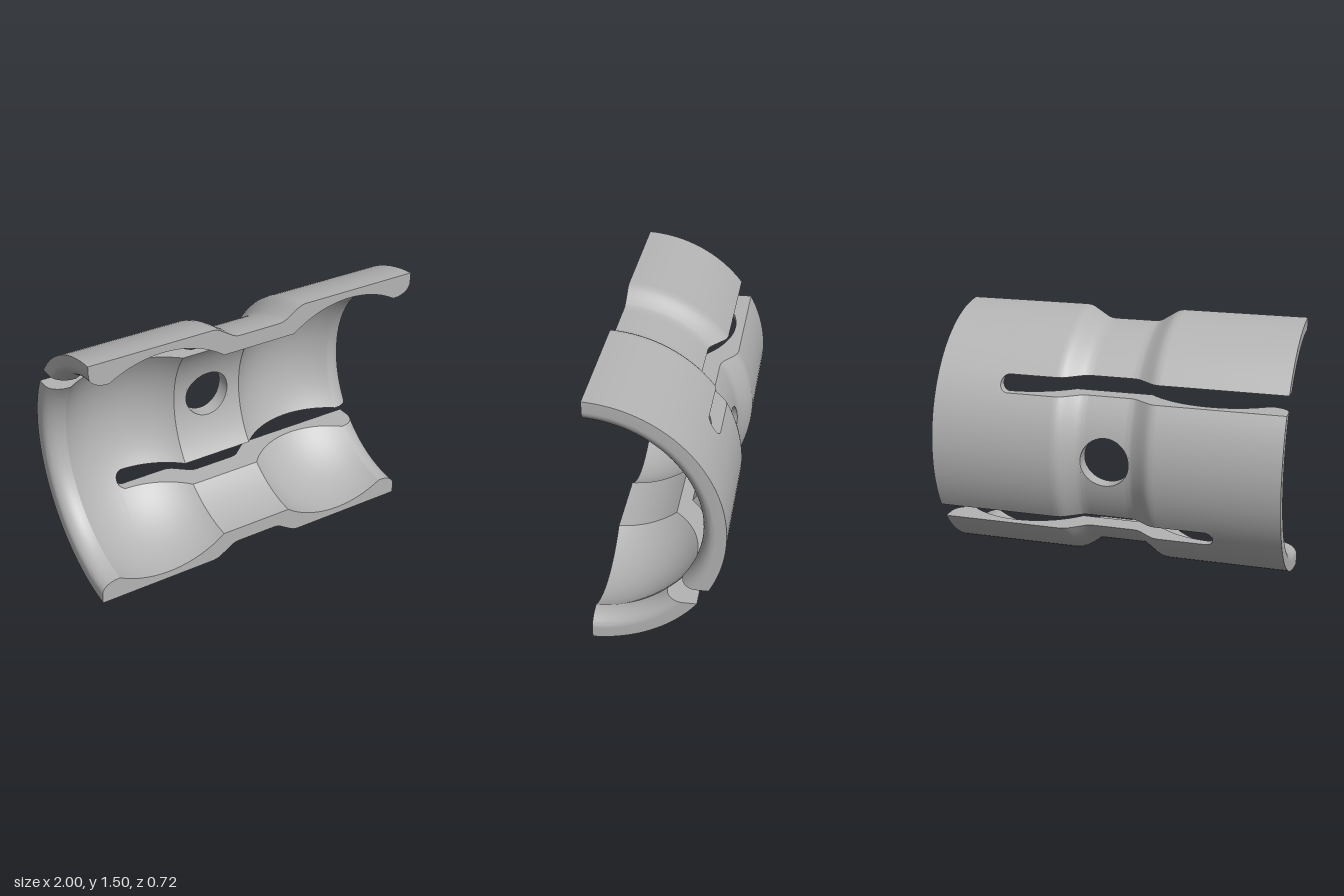
import * as THREE from 'three';
import { toCreasedNormals } from 'three/addons/utils/BufferGeometryUtils.js';

const CY = 0.749, CZ = 0.39, CUT = 0.03; // bore axis, and distance from axis to the cut plane
const SLOT_Y = 0.402, SLOT_H = 0.047, SLOT_END = 0.615, HOLE_R = 0.14;

// Outer radius along the length: two barrels with a waist between
const waist = [[0, 0.674], [0.12, 0.674], [0.145, 0.677], [0.165, 0.685], [0.245, 0.736], [0.265, 0.745], [0.29, 0.749], [1, 0.749]];
function outerR(x) {
  const a = Math.abs(x);
  const i = Math.max(1, waist.findIndex((p) => p[0] >= a));
  const [x0, r0] = waist[i - 1], [x1, r1] = waist[i];
  return r0 + (r1 - r0) * (a - x0) / (x1 - x0);
}

// Inner radius: narrow neck, a ball-shaped socket each side, rounded end lips
function innerR(x) {
  const a = Math.abs(x);
  if (a > 0.9) return 0.69 - 0.07 * Math.sqrt(Math.max(0, 1 - ((a - 0.9) / 0.1) ** 2));
  const ball = 0.105 + Math.sqrt(Math.max(0, 0.36 - (a - 0.58) ** 2));
  return Math.max(ball, a < 0.58 ? 0.585 : 0.62);
}

// Half heights of the openings at x
const clean = (v) => (v > 1e-5 ? v : 0);
const holeHalf = (x) => clean(Math.sqrt(Math.max(0, HOLE_R ** 2 - x * x)));
function slotHalf(x) {
  const d = Math.max(0, x - (SLOT_END - SLOT_H));
  return clean(Math.sqrt(Math.max(0, SLOT_H ** 2 - d * d)));
}

// Stations along the length, symmetric about the middle
function stations() {
  const set = new Set();
  const add = (v) => { set.add(+v.toFixed(5)); set.add(+(-v).toFixed(5) || 0); };
  waist.forEach((p) => add(p[0]));
  for (let i = 0; i <= 12; i++) {
    const s = Math.sin(i / 12 * Math.PI / 2);
    add(HOLE_R * s);
    add(SLOT_END - SLOT_H + SLOT_H * s);
    add(0.9 + 0.1 * s);
  }
  for (let x = 0.2; x < 0.9; x += 0.025) add(x);
  add(0.22);
  add(0.888);
  return [...set].sort((a, b) => a - b);
}

function createShell() {
  const pos = [];
  const quad = (a, b, c, d) => {
    for (const p of [a, b, c, a, c, d]) pos.push(...p);
  };
  const xs = stations();

  // Solid strip between two edges; each edge gives an angle from x and radius
  function strip(lo, hi, loOpen, hiOpen, n) {
    const arc = (x, r) => Array.from({ length: n + 1 }, (_, j) => {
      const t = lo(x, r) + (hi(x, r) - lo(x, r)) * j / n;
      return [x, r * Math.sin(t), -r * Math.cos(t)];
    });
    const cols = xs.map((x) => ({ x, o: arc(x, outerR(x)), i: arc(x, innerR(x)) }));
    for (let k = 0; k < cols.length - 1; k++) {
      const A = cols[k], B = cols[k + 1];
      for (let j = 0; j < n; j++) {
        quad(A.o[j], A.o[j + 1], B.o[j + 1], B.o[j]);
        quad(A.i[j], B.i[j], B.i[j + 1], A.i[j + 1]);
      }
      if (hiOpen(A.x) || hiOpen(B.x)) quad(A.o[n], A.i[n], B.i[n], B.o[n]);
      if (loOpen(A.x) || loOpen(B.x)) quad(A.o[0], B.o[0], B.i[0], A.i[0]);
    }
    // End faces
    const A = cols[0], B = cols[cols.length - 1];
    for (let j = 0; j < n; j++) {
      quad(A.o[j], A.i[j], A.i[j + 1], A.o[j + 1]);
      quad(B.o[j], B.o[j + 1], B.i[j + 1], B.i[j]);
    }
  }

  // Upper half: flap above the slot, then the strip from slot down to the hole
  strip((x, r) => Math.asin((SLOT_Y + slotHalf(x)) / r), (x, r) => Math.acos(CUT / r), slotHalf, () => 1, 16);
  strip((x, r) => Math.asin(holeHalf(x) / r), (x, r) => Math.asin((SLOT_Y - slotHalf(x)) / r), holeHalf, slotHalf, 10);

  // Lower half is the upper half turned by 180 degrees
  const half = pos.length;
  for (let i = 0; i < half; i += 3) pos.push(-pos[i], -pos[i + 1], pos[i + 2]);

  const geo = new THREE.BufferGeometry();
  geo.setAttribute('position', new THREE.Float32BufferAttribute(pos, 3));
  return toCreasedNormals(geo, 0.5);
}

export function createModel() {
  const group = new THREE.Group();
  group.name = 'slottedHalfSleeve';
  const grey = new THREE.MeshStandardMaterial({ color: 0xb4b4b4 });
  grey.name = 'plain grey';
  const shell = new THREE.Mesh(createShell(), grey);
  shell.name = 'sleeveShell';
  shell.position.set(0, CY, CZ);
  group.add(shell);
  return group;
}
